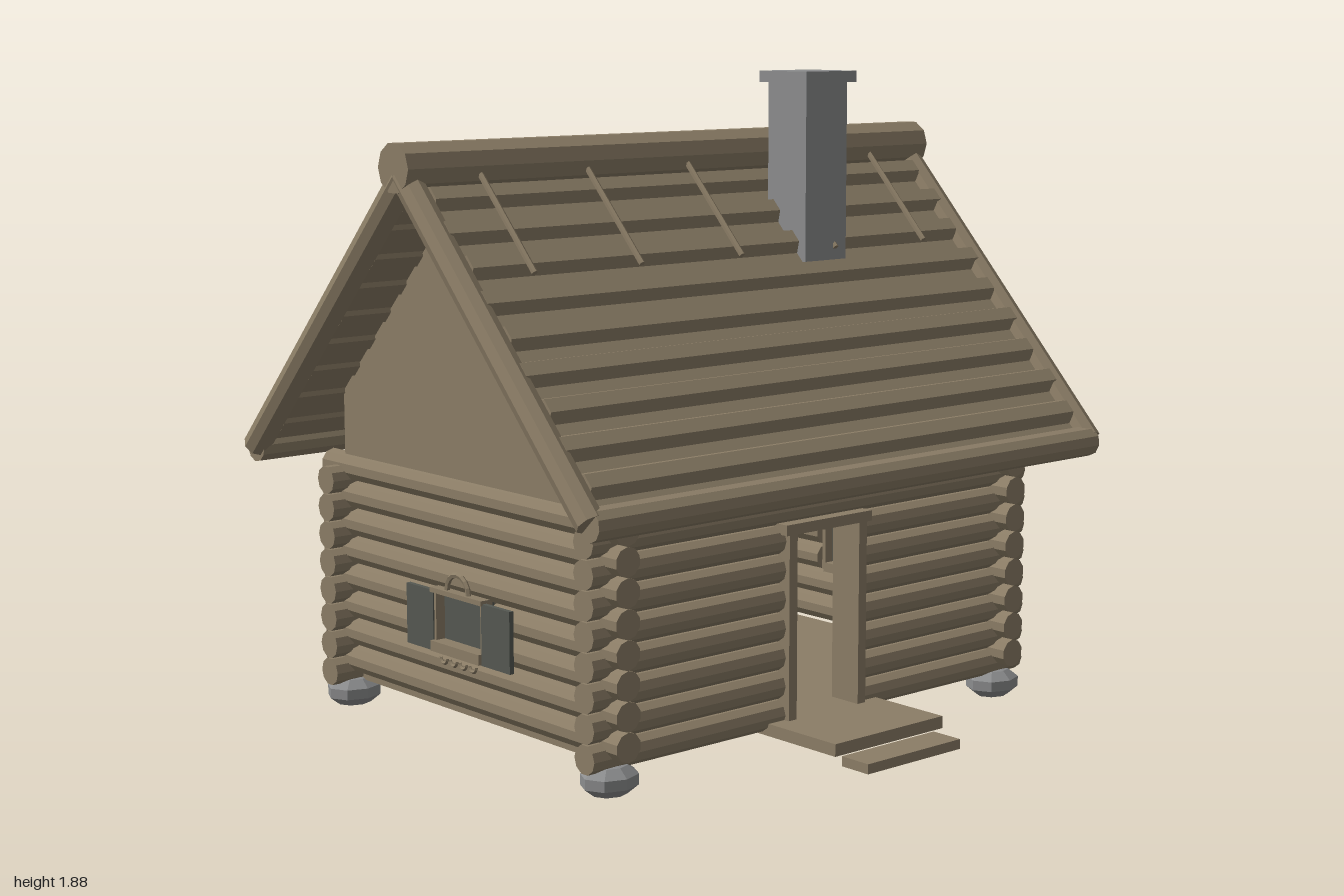
import * as THREE from 'three';

const mat = (name, color) => {
  const m = new THREE.MeshStandardMaterial({ color, flatShading: true });
  m.name = name;
  return m;
};

export function createModel() {
  const wood = mat('weathered wood', 0x8b7d66);
  const stone = mat('grey stone', 0x8c8d8e);
  const slate = mat('dark slate', 0x555852);

  const cabin = new THREE.Group();
  cabin.name = 'logCabin';
  const CZ = -0.08; // middle of the house in z

  const add = (parent, name, geo, m, x, y, z) => {
    const mesh = new THREE.Mesh(geo, m);
    mesh.name = name;
    mesh.position.set(x, y, z);
    parent.add(mesh);
    return mesh;
  };
  const box = (parent, name, m, x0, x1, y0, y1, z0, z1) =>
    add(parent, name, new THREE.BoxGeometry(x1 - x0, y1 - y0, z1 - z0), m,
      (x0 + x1) / 2, (y0 + y1) / 2, (z0 + z1) / 2);
  const logX = (parent, name, x0, x1, y, z, r, sides = 10) =>
    add(parent, name, new THREE.CylinderGeometry(r, r, x1 - x0, sides).rotateZ(Math.PI / 2), wood, (x0 + x1) / 2, y, z);
  const logZ = (parent, name, z0, z1, x, y, r, sides = 10) =>
    add(parent, name, new THREE.CylinderGeometry(r, r, z1 - z0, sides).rotateX(Math.PI / 2), wood, x, y, (z0 + z1) / 2);

  // Foundation stones
  for (const z of [0.52, -0.68]) for (const x of [-0.75, 0, 0.75]) {
    const s = add(cabin, 'foundationStone', new THREE.SphereGeometry(1, 8, 5), stone, x, 0.05, z);
    s.scale.set(0.088, 0.048, 0.076);
  }

  // Floor and entrance steps
  box(cabin, 'floor', wood, -0.74, 0.74, 0.085, 0.105, -0.67, 0.51);
  box(cabin, 'upperStep', wood, -0.21, 0.21, 0.07, 0.105, 0.5, 0.82);
  box(cabin, 'lowerStep', wood, -0.18, 0.18, 0.037, 0.065, 0.815, 0.915);

  // Interlocking log walls, cut away at the door and windows
  const R = 0.0415, PITCH = 0.0825;
  for (let i = 0; i < 8; i++) {
    const y = 0.118 + i * PITCH;
    logX(cabin, 'backWallLog', -0.835, 0.835, y, -0.68, R);
    if (y < 0.64) {
      logX(cabin, 'frontWallLog', -0.835, -0.125, y, 0.52, R);
      logX(cabin, 'frontWallLog', 0.125, 0.835, y, 0.52, R);
    } else logX(cabin, 'frontWallLog', -0.835, 0.835, y, 0.52, R);

    const ys = 0.152 + i * PITCH;
    for (const x of [-0.75, 0.75]) {
      if (i === 2 || i === 3) {
        logZ(cabin, 'sideWallLog', -0.765, -0.2, x, ys, R);
        logZ(cabin, 'sideWallLog', 0.03, 0.6, x, ys, R);
      } else logZ(cabin, 'sideWallLog', -0.765, 0.6, x, ys, R);
    }
  }

  // Door frame
  for (const s of [-1, 1])
    box(cabin, 'doorPost', wood, s * 0.135 - 0.015, s * 0.135 + 0.015, 0.105, 0.635, 0.47, 0.575);
  box(cabin, 'doorLintel', wood, -0.165, 0.165, 0.632, 0.662, 0.47, 0.58);

  // Gables
  const gable = new THREE.Shape([[-0.6, 0.73], [0.6, 0.73], [0.6, 0.955], [0, 1.59], [-0.6, 0.955]]
    .map(([a, b]) => new THREE.Vector2(a, b)));
  for (const x of [-0.75, 0.75]) {
    const geo = new THREE.ExtrudeGeometry(gable, { depth: 0.03, bevelEnabled: false });
    geo.translate(0, 0, -0.015).rotateY(Math.PI / 2);
    add(cabin, 'gable', geo, wood, x, 0, CZ);
  }

  // Windows with shutters and carved trim, built facing +x
  for (const s of [1, -1]) {
    const w = new THREE.Group();
    w.name = 'window';
    w.position.z = CZ;
    if (s < 0) w.rotation.y = Math.PI;
    cabin.add(w);
    box(w, 'windowPane', slate, 0.762, 0.77, 0.29, 0.45, -0.12, 0.12);
    for (const t of [-1, 1]) {
      const c = t * 0.177;
      box(w, 'shutter', slate, 0.79, 0.804, 0.27, 0.445, c - 0.064, c + 0.064);
      box(w, 'windowPost', wood, 0.73, 0.8, 0.28, 0.45, t * 0.111 - 0.007, t * 0.111 + 0.007);
    }
    box(w, 'windowLintel', wood, 0.73, 0.81, 0.44, 0.454, -0.12, 0.12);
    box(w, 'windowSill', wood, 0.73, 0.815, 0.272, 0.302, -0.113, 0.113);
    const arch = new THREE.TorusGeometry(0.05, 0.008, 5, 8, Math.PI).rotateY(Math.PI / 2);
    add(w, 'windowCrest', arch, wood, 0.8, 0.456, 0);
    for (let i = 0; i < 4; i++) {
      const loop = new THREE.TorusGeometry(0.016, 0.005, 4, 8, Math.PI).rotateZ(Math.PI).rotateY(Math.PI / 2);
      add(w, 'sillScallop', loop, wood, 0.8, 0.258, (i - 1.5) * 0.045);
    }
  }

  // Roof slopes: local +z runs down the slope, local +y points outward
  const LEN = 1.139, PITCH_ANGLE = Math.atan2(0.83, 0.78);
  for (const s of [1, -1]) {
    const slope = new THREE.Group();
    slope.name = s > 0 ? 'frontRoof' : 'backRoof';
    slope.position.set(0, 1.62, CZ);
    slope.rotation.order = 'YXZ';
    slope.rotation.set(PITCH_ANGLE, s > 0 ? 0 : Math.PI, 0);
    cabin.add(slope);

    box(slope, 'roofDeck', wood, -0.945, 0.945, -0.015, 0.005, 0, LEN);
    for (let i = 0; i < 9; i++) {
      const half = 0.925 + (i % 2) * 0.015;
      const log = logX(slope, 'roofLog', -half, half, 0.004, 0.09 + i * 0.118, 0.042, 6);
      log.scale.y = 0.85;
    }
    for (const x of [-0.955, 0.955]) logZ(slope, 'gableEdgeLog', 0, LEN, x, 0, 0.04, 8);
    logX(slope, 'eaveLog', -0.96, 0.96, -0.005, LEN, 0.045, 10);
    for (let i = -2; i <= 2; i++) logZ(slope, 'ridgePole', 0.03, 0.385, i * 0.373, 0.042, 0.009, 6);
  }
  logX(cabin, 'ridgeLog', -0.992, 0.992, 1.642, CZ, 0.07, 10);

  // Chimney
  box(cabin, 'chimneyStack', stone, 0.253, 0.418, 1.28, 1.852, 0.05, 0.21);
  box(cabin, 'chimneyCap', stone, 0.235, 0.438, 1.85, 1.883, 0.03, 0.228);

  return cabin;
}
